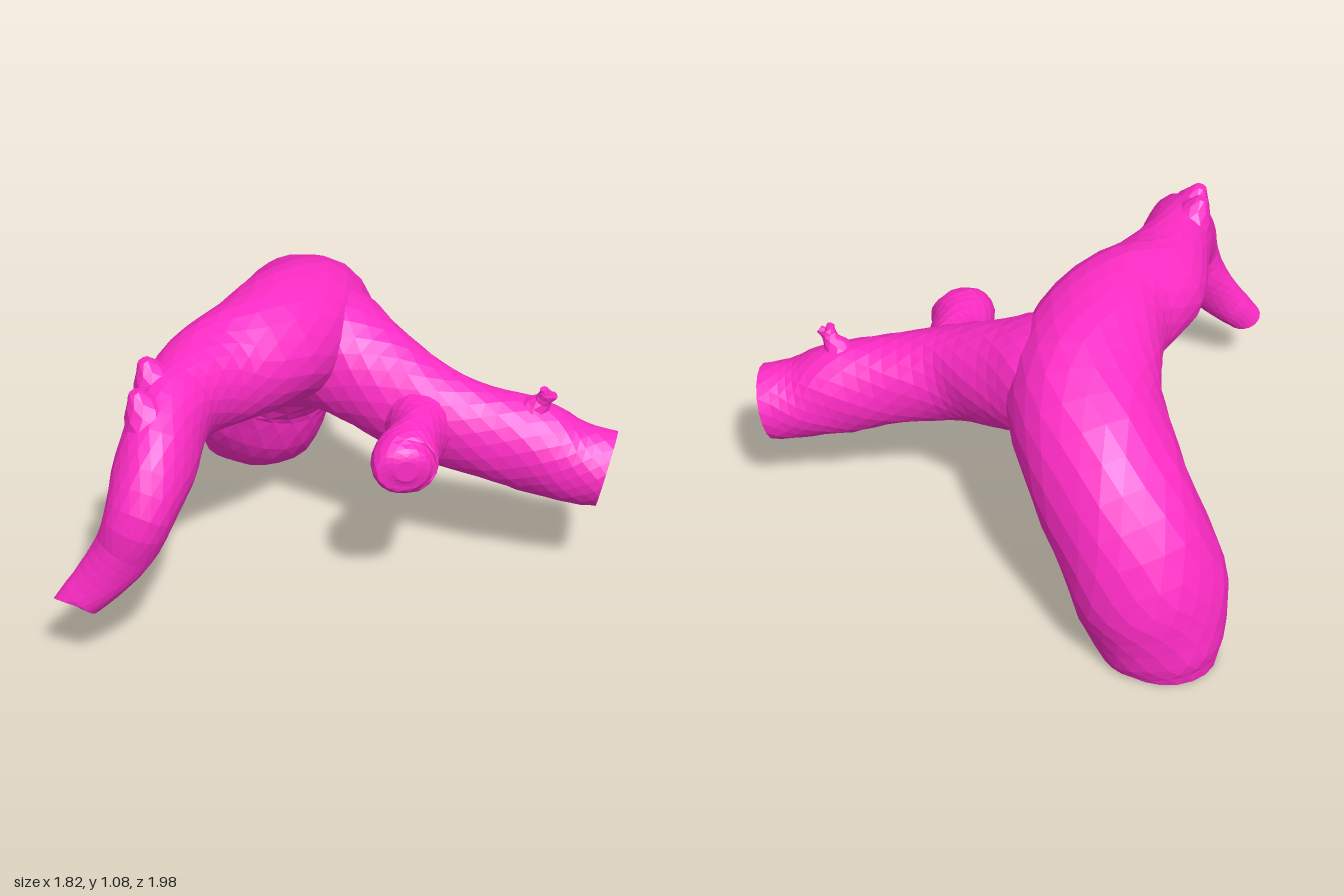
import * as THREE from 'three';

const material = new THREE.MeshStandardMaterial({
  color: 0xff2cc6, flatShading: true, side: THREE.DoubleSide,
});

// Organic tube. Stations are [x, y, z, radius along ref, radius across ref].
function limb(name, stations, { ref, sides = 18, rings = 30, start, end, rough = 0.02 }) {
  const path = new THREE.CatmullRomCurve3(stations.map(s => new THREE.Vector3(s[0], s[1], s[2])));
  const radii = new THREE.CatmullRomCurve3(
    stations.map(s => new THREE.Vector3(s[3], s[4], 0)), false, 'catmullrom', 0.5);
  const positions = [], index = [];
  for (let i = 0; i <= rings; i++) {
    const t = i / rings;
    const centre = path.getPoint(t), r = radii.getPoint(t);
    let tangent = path.getTangent(t);
    if (i === 0 && start) tangent = start.clone().normalize();
    if (i === rings && end) tangent = end.clone().normalize();
    const side = ref.clone().addScaledVector(tangent, -ref.dot(tangent)).normalize();
    const up = tangent.clone().cross(side);
    for (let j = 0; j < sides; j++) {
      const a = ((j + (i % 2) * 0.5) / sides) * Math.PI * 2;
      const open = i > 0 && i < rings ? rough : 0;
      const k = 1 + open * (Math.sin(3 * a + i * 0.7) * 0.6 + Math.sin(5 * a - i * 1.1) * 0.5);
      const p = centre.clone()
        .addScaledVector(side, Math.cos(a) * r.x * k)
        .addScaledVector(up, Math.sin(a) * r.y * k);
      positions.push(p.x, Math.max(p.y, 0), p.z);
    }
  }
  for (let i = 0; i < rings; i++) {
    for (let j = 0; j < sides; j++) {
      const a = i * sides + j, b = i * sides + (j + 1) % sides;
      const c = a + sides, d = b + sides;
      // alternate rings are turned half a step, so the diagonal alternates too
      if (i % 2) index.push(a, b, d, a, d, c);
      else index.push(a, b, c, b, d, c);
    }
  }
  // flat end caps
  const last = rings * sides, hub = positions.length / 3;
  const first = path.getPoint(0), final = path.getPoint(1);
  positions.push(first.x, first.y, first.z, final.x, final.y, final.z);
  for (let j = 0; j < sides; j++) {
    const n = (j + 1) % sides;
    index.push(hub, n, j, hub + 1, last + j, last + n);
  }
  const geometry = new THREE.BufferGeometry();
  geometry.setAttribute('position', new THREE.Float32BufferAttribute(positions, 3));
  geometry.setIndex(index);
  geometry.computeVertexNormals();
  const mesh = new THREE.Mesh(geometry, material);
  mesh.name = name;
  return mesh;
}

export function createModel() {
  const group = new THREE.Group();
  group.name = 'branchingVessel';
  const X = new THREE.Vector3(1, 0, 0), Z = new THREE.Vector3(0, 0, 1);

  // main arch: rises from the base, curves forward and tapers to a thin drooping end
  group.add(limb('mainArch', [
    [-0.65, 0.00, -0.775, 0.185, 0.17],
    [-0.64, 0.05, -0.77, 0.225, 0.205],
    [-0.595, 0.22, -0.725, 0.27, 0.27],
    [-0.525, 0.42, -0.685, 0.27, 0.28],
    [-0.41, 0.62, -0.56, 0.27, 0.285],
    [-0.315, 0.76, -0.36, 0.275, 0.265],
    [-0.325, 0.825, -0.15, 0.25, 0.25],
    [-0.38, 0.85, 0.05, 0.225, 0.225],
    [-0.505, 0.84, 0.25, 0.20, 0.195],
    [-0.565, 0.835, 0.45, 0.145, 0.175],
    [-0.58, 0.805, 0.60, 0.135, 0.175],
    [-0.585, 0.715, 0.75, 0.138, 0.17],
    [-0.61, 0.60, 0.86, 0.12, 0.125],
    [-0.665, 0.47, 0.885, 0.105, 0.092],
    [-0.75, 0.35, 0.91, 0.088, 0.07],
    [-0.845, 0.25, 0.93, 0.07, 0.06],
  ], { ref: X, sides: 20, rings: 45, start: new THREE.Vector3(0, 1, 0),
    end: new THREE.Vector3(-0.2, -0.8, 0.55) }));

  // side branch towards +x, flared where it leaves the arch
  group.add(limb('sideBranch', [
    [-0.40, 0.80, -0.36, 0.18, 0.18],
    [-0.20, 0.755, -0.23, 0.225, 0.235],
    [-0.02, 0.695, -0.145, 0.19, 0.205],
    [0.18, 0.62, -0.06, 0.15, 0.19],
    [0.40, 0.56, -0.045, 0.148, 0.172],
    [0.60, 0.51, -0.05, 0.15, 0.178],
    [0.74, 0.46, -0.06, 0.145, 0.155],
    [0.873, 0.435, -0.07, 0.14, 0.143],
  ], { ref: Z, rings: 28, end: new THREE.Vector3(0.97, -0.22, 0) }));

  // blunt stub on the front of the branch, slightly bulbous at the tip
  group.add(limb('frontStub', [
    [0.20, 0.60, -0.03, 0.17, 0.15],
    [0.205, 0.60, 0.09, 0.12, 0.13],
    [0.21, 0.60, 0.18, 0.098, 0.125],
    [0.20, 0.595, 0.28, 0.115, 0.125],
    [0.20, 0.60, 0.345, 0.118, 0.11],
    [0.215, 0.605, 0.385, 0.09, 0.08],
    [0.22, 0.605, 0.40, 0.04, 0.04],
  ], { ref: X, sides: 14, rings: 18 }));

  // small forked twig on a mound on top of the branch
  group.add(limb('twig', [
    [0.58, 0.56, -0.05, 0.14, 0.11],
    [0.605, 0.66, -0.04, 0.07, 0.065],
    [0.635, 0.71, -0.03, 0.032, 0.03],
    [0.652, 0.745, -0.02, 0.03, 0.025],
  ], { ref: X, sides: 8, rings: 6 }));
  for (const [tipX, tipY] of [[0.638, 0.765], [0.68, 0.742]]) {
    group.add(limb('twigTip', [
      [0.645, 0.72, -0.025, 0.022, 0.022],
      [tipX, tipY, -0.015, 0.015, 0.015],
    ], { ref: Z, sides: 6, rings: 2 }));
  }

  // little ridged nubs on the top of the arch's forward end
  for (const [x, y, z] of [[-0.665, 1.03, 0.565], [-0.655, 0.985, 0.715]]) {
    group.add(limb('archNub', [
      [x + 0.07, y - 0.20, z - 0.02, 0.12, 0.15],
      [x + 0.03, y - 0.08, z - 0.01, 0.075, 0.095],
      [x, y, z, 0.022, 0.025],
    ], { ref: X, sides: 8, rings: 5 }));
  }

  return group;
}
